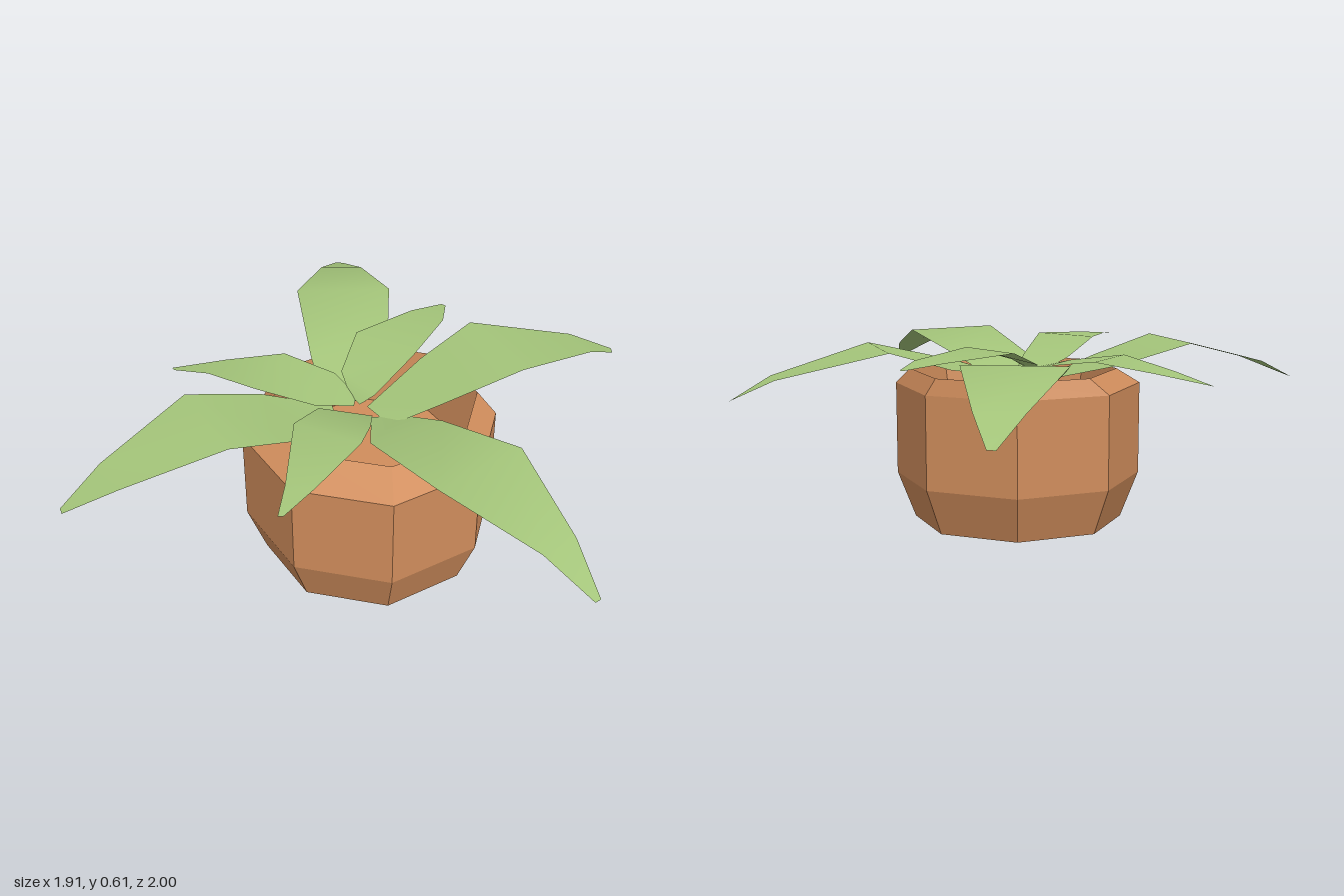
import * as THREE from 'three';

const terracotta = new THREE.MeshStandardMaterial({ color: 0xd08d5c });
terracotta.name = 'terracotta';
const leafGreen = new THREE.MeshStandardMaterial({ color: 0xa4c57a, side: THREE.DoubleSide });
leafGreen.name = 'leafGreen';

// Eight-sided hollow pot; its rim and hollow sit slightly off centre.
function makePot() {
  const profile = [
    [0, 0], [0.353, 0], [0.413, 0.155], [0.413, 0.465],
    [0.345, 0.52], [0.31, 0.32], [0, 0.32],
  ].map(([r, y]) => new THREE.Vector2(r, y));
  const lathe = new THREE.LatheGeometry(profile, 8, -0.043);
  const pos = lathe.attributes.position;
  for (let i = 0; i < pos.count; i++) {
    const y = pos.getY(i);
    if (y > 0.5 || Math.abs(y - 0.32) < 0.01) {
      pos.setX(i, pos.getX(i) + 0.017);
      pos.setZ(i, pos.getZ(i) - 0.05);
    }
  }
  const geometry = lathe.toNonIndexed();
  geometry.computeVertexNormals();
  const pot = new THREE.Mesh(geometry, terracotta);
  pot.name = 'pot';
  pot.position.set(0.0275, 0, 0.097);
  return pot;
}

// A leaf is a smooth strip of rows from base to tip:
// [left x, left z, right x, right z], with one height per row.
function makeLeaf(name, rows, heights) {
  const points = [];
  const index = [];
  rows.forEach(([ax, az, bx, bz], i) => {
    points.push(ax, heights[i], az, bx, heights[i], bz);
    if (i > 0) {
      const k = (i - 1) * 2;
      index.push(k, k + 1, k + 3, k, k + 3, k + 2);
    }
  });
  const geometry = new THREE.BufferGeometry();
  geometry.setAttribute('position', new THREE.Float32BufferAttribute(points, 3));
  geometry.setIndex(index);
  geometry.computeVertexNormals();
  const leaf = new THREE.Mesh(geometry, leafGreen);
  leaf.name = name;
  return leaf;
}

export function createModel() {
  const model = new THREE.Group();
  model.name = 'pottedPlant';
  model.add(makePot());

  // Four long arching leaves
  const arch = [0.49, 0.54, 0.605, 0.52, 0.45];
  const longLeaves = {
    backLongLeaf: [
      [-0.10, -0.03, 0.03, 0.0], [-0.11, -0.22, 0.16, -0.25],
      [-0.10, -0.55, 0.22, -0.50], [0.04, -0.85, 0.185, -0.82], [0.125, -1.0, 0.15, -0.99]],
    leftLongLeaf: [
      [0.03, 0.03, 0.08, 0.145], [0.25, -0.14, 0.25, 0.135],
      [0.44, -0.225, 0.53, 0.09], [0.80, -0.215, 0.83, -0.09], [0.955, -0.20, 0.95, -0.175]],
    frontLongLeaf: [
      [0.13, 0.10, 0.03, 0.09], [0.23, 0.22, -0.015, 0.29],
      [0.40, 0.485, 0.11, 0.63], [0.465, 0.81, 0.35, 0.86], [0.48, 0.99, 0.46, 1.0]],
    rightLongLeaf: [
      [-0.08, 0.10, -0.08, 0.0], [-0.24, 0.235, -0.31, -0.04],
      [-0.45, 0.32, -0.55, 0.01], [-0.78, 0.34, -0.83, 0.20], [-0.955, 0.33, -0.96, 0.305]],
  };
  for (const [name, rows] of Object.entries(longLeaves)) model.add(makeLeaf(name, rows, arch));

  // Three short leaves lying over the long ones
  model.add(makeLeaf('backRightShortLeaf', [
    [-0.02, 0.06, 0.0, 0.0], [-0.15, 0.065, -0.05, -0.10],
    [-0.32, -0.02, -0.20, -0.21], [-0.46, -0.19, -0.39, -0.26], [-0.565, -0.285, -0.57, -0.30]],
  [0.52, 0.545, 0.572, 0.54, 0.505]));
  model.add(makeLeaf('backLeftShortLeaf', [
    [-0.02, 0.0, 0.0, 0.055], [-0.03, -0.10, 0.05, 0.055],
    [0.05, -0.24, 0.20, -0.06], [0.27, -0.365, 0.36, -0.28], [0.39, -0.41, 0.40, -0.395]],
  [0.52, 0.55, 0.605, 0.59, 0.575]));
  model.add(makeLeaf('frontRightShortLeaf', [
    [0.03, 0.11, -0.06, 0.07], [0.0, 0.22, -0.14, 0.09],
    [-0.06, 0.37, -0.24, 0.23], [-0.23, 0.535, -0.31, 0.50], [-0.335, 0.62, -0.35, 0.615]],
  [0.51, 0.55, 0.605, 0.59, 0.575]));

  return model;
}
